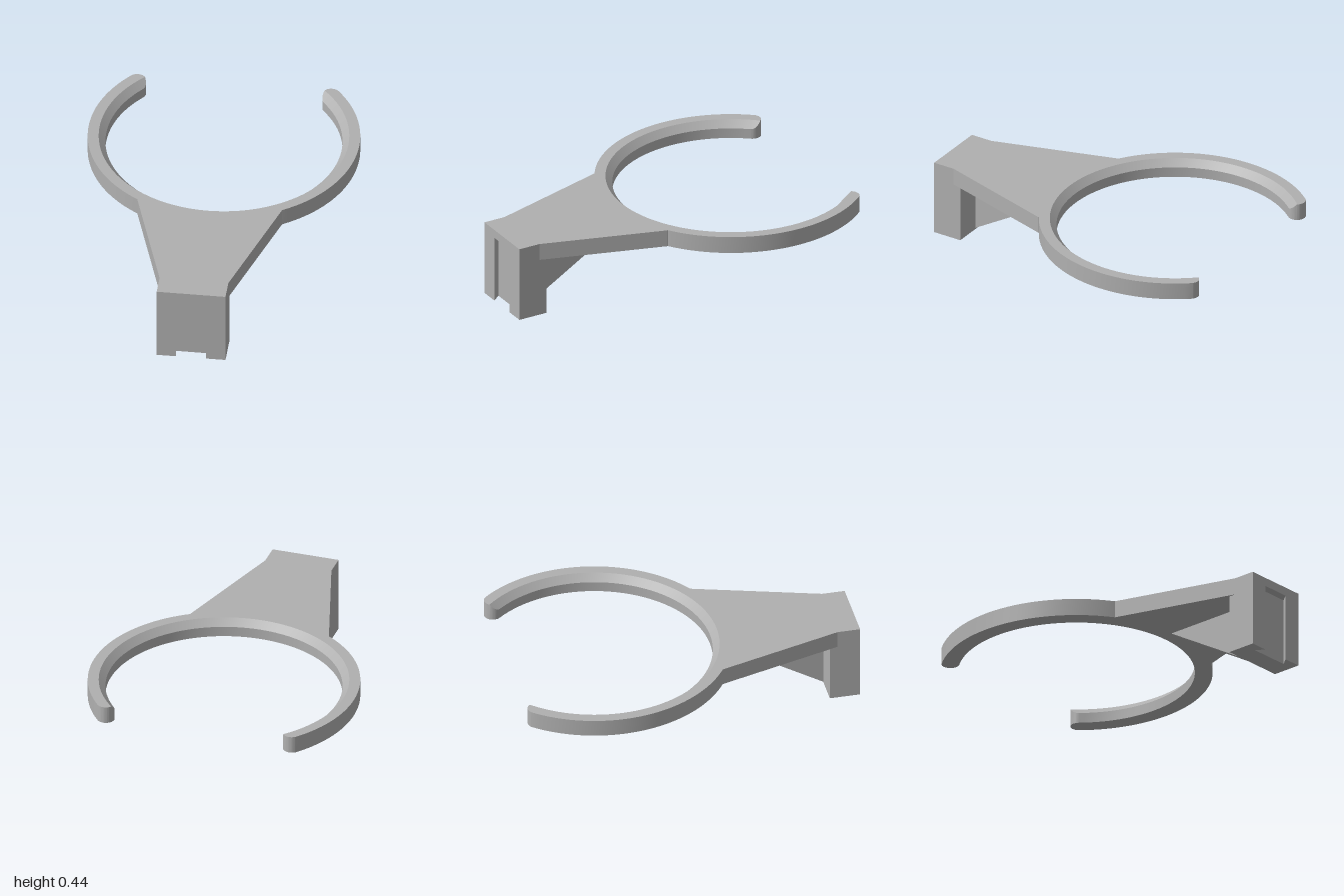
import * as THREE from 'three';
import { toCreasedNormals } from 'three/addons/utils/BufferGeometryUtils.js';

const TOP = 0.445, UNDER = 0.345;            // plate and ring heights
const ZC = -0.49, R_IN = 0.667, R_OUT = 0.767; // ring centre and radii
const R_CHAMFER = 0.705, Y_CHAMFER = 0.405;  // bevel on the inner top edge

// Open ring: five-point sections swept round, narrowing to rounded ends
function ringGeometry() {
  const mid = (R_IN + R_OUT) / 2, cap = (R_OUT - R_IN) / 2;
  const end = THREE.MathUtils.degToRad(129.9), reach = Math.asin(cap / mid);
  const angles = [];
  const capSteps = 12, arcSteps = 96;
  for (let i = 0; i < capSteps; i++) angles.push(-end - reach * Math.cos((i / capSteps) * Math.PI / 2));
  for (let i = 0; i <= arcSteps; i++) angles.push(-end + (2 * end * i) / arcSteps);
  for (let i = 1; i <= capSteps; i++) angles.push(end + reach * Math.sin((i / capSteps) * Math.PI / 2));

  const pos = [], idx = [];
  for (const t of angles) {
    let ri = R_IN, ro = R_OUT;
    const d = Math.abs(t) - end;
    if (d > 0) {
      const half = Math.sqrt(Math.max(0, cap * cap - (mid * Math.sin(d)) ** 2));
      ri = mid * Math.cos(d) - half;
      ro = mid * Math.cos(d) + half;
    }
    const rt = Math.min(ro, Math.max(ri, R_CHAMFER));
    const k = THREE.MathUtils.clamp((ri - R_IN) / (R_CHAMFER - R_IN), 0, 1);
    const yc = Y_CHAMFER + k * (TOP - Y_CHAMFER);
    for (const [r, y] of [[ro, UNDER], [ro, TOP], [rt, TOP], [ri, yc], [ri, UNDER]]) {
      pos.push(r * Math.sin(t), y, ZC + r * Math.cos(t));
    }
  }
  for (let i = 0; i < angles.length - 1; i++) {
    for (let j = 0; j < 5; j++) {
      const n = (j + 1) % 5;
      const a = i * 5 + j, b = (i + 1) * 5 + j, c = (i + 1) * 5 + n, e = i * 5 + n;
      idx.push(a, b, c, a, c, e);
    }
  }
  const g = new THREE.BufferGeometry();
  g.setAttribute('position', new THREE.Float32BufferAttribute(pos, 3));
  g.setIndex(idx);
  return toCreasedNormals(g, Math.PI / 6);
}

// Extrude a plan outline (x, -z) upwards from y0 to y1
function slab(shape, y0, y1) {
  const g = new THREE.ExtrudeGeometry(shape, { depth: y1 - y0, bevelEnabled: false, curveSegments: 32 });
  return g.rotateX(-Math.PI / 2).translate(0, y0, 0);
}

const outline = (points) => new THREE.Shape(points.map(([x, y]) => new THREE.Vector2(x, y)));

export function createModel() {
  const model = new THREE.Group();
  model.name = 'ringHolder';
  const grey = new THREE.MeshStandardMaterial({ color: 0xb0b0b0 });
  grey.name = 'grey';
  const add = (name, geometry) => {
    const mesh = new THREE.Mesh(geometry, grey);
    mesh.name = name;
    model.add(mesh);
  };

  add('ring', ringGeometry());

  // Tapered neck, its back edge buried in the ring
  const neck = new THREE.Shape();
  const a = Math.atan2(-0.65, 0.41);
  neck.moveTo(-0.41, -0.16);
  neck.lineTo(-0.195, -0.87);
  neck.lineTo(-0.195, -0.9);
  neck.lineTo(0.195, -0.9);
  neck.lineTo(0.195, -0.87);
  neck.lineTo(0.41, -0.16);
  neck.absarc(0, -ZC, 0.75, a, -Math.PI - a, true);
  add('neck', slab(neck, UNDER, TOP));

  // Mounting block with an undercut slot, closed at the top
  const slotted = outline([
    [-0.195, -1], [-0.085, -1], [-0.125, -0.95], [0.125, -0.95], [0.085, -1],
    [0.195, -1], [0.195, -0.825], [-0.195, -0.825],
  ]);
  add('mountingBlock', slab(slotted, 0, 0.395));
  const lid = outline([[-0.195, -1], [0.195, -1], [0.195, -0.825], [-0.195, -0.825]]);
  add('blockTop', slab(lid, 0.395, TOP));

  // Central triangular rib under the neck
  const rib = new THREE.ExtrudeGeometry(
    outline([[-0.83, 0.005], [-0.255, UNDER], [-0.83, UNDER]]),
    { depth: 0.08, bevelEnabled: false });
  add('supportRib', rib.rotateY(Math.PI / 2).translate(-0.04, 0, 0));

  return model;
}
